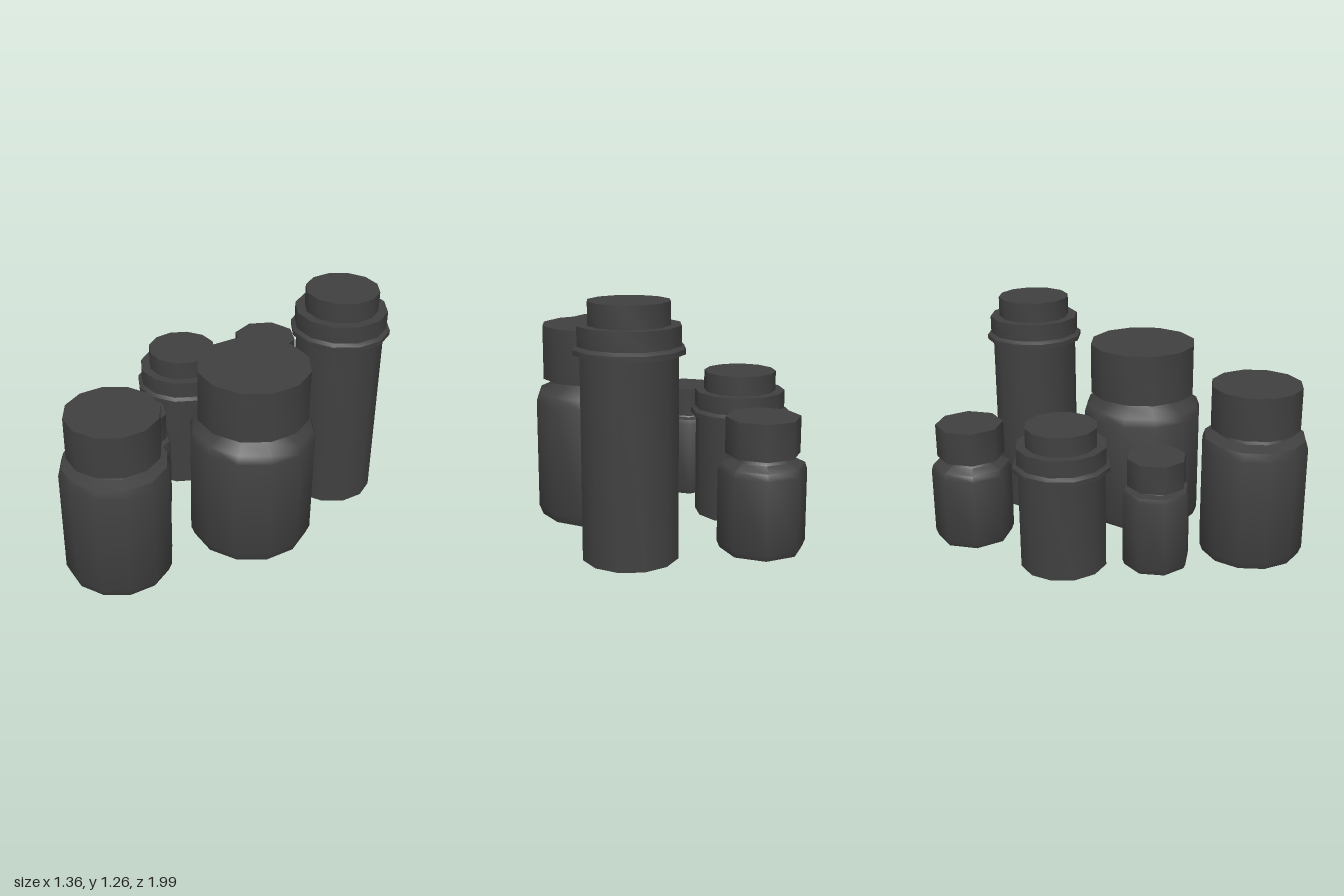
import * as THREE from 'three';
import { toCreasedNormals } from 'three/addons/utils/BufferGeometryUtils.js';

const plastic = new THREE.MeshStandardMaterial({ color: 0x404040 });

// Faceted turned solid from [radius, height] pairs, bottom to top; turn = corner angle from +x to +z
function turned(name, profile, sides, turn) {
  const points = profile.map(([r, y]) => new THREE.Vector2(r, y));
  const start = Math.PI / 2 - THREE.MathUtils.degToRad(turn);
  const geometry = toCreasedNormals(new THREE.LatheGeometry(points, sides, start), 0.87);
  const mesh = new THREE.Mesh(geometry, plastic);
  mesh.name = name;
  return mesh;
}

const disc = (r, bottom, top) => [[0, bottom], [r, bottom], [r, top], [0, top]];

// Round-shouldered jar with a wide screw cap
function pillBottle({ name, x, z, r, neck, shoulder, capR, capY, top, sides, turn }) {
  const [cornerY, bendY, neckY] = shoulder;
  const bottle = new THREE.Group();
  bottle.name = name;
  bottle.position.set(x, 0, z);
  bottle.add(turned('body', [
    [0, 0], [r * 0.76, 0], [r * 0.94, r * 0.055], [r, r * 0.21],
    [r, cornerY], [r * 0.95, bendY],
    [neck * 1.08, neckY], [neck, capY], [0, capY],
  ], sides, turn));
  bottle.add(turned('cap', disc(capR, capY, top), sides, turn));
  return bottle;
}

// Straight vial with a flanged, stepped cap
function vial({ name, x, z, r, flangeR, collarR, capR, flangeY, collarY, top, turn }) {
  const bottle = new THREE.Group();
  bottle.name = name;
  bottle.position.set(x, 0, z);
  bottle.add(turned('body', disc(r, 0, flangeY), 12, turn));
  bottle.add(turned('collar', [
    [0, flangeY], [flangeR, flangeY], [flangeR, flangeY + 0.025],
    [collarR, flangeY + 0.04], [collarR, collarY], [0, collarY],
  ], 12, turn));
  bottle.add(turned('cap', disc(capR, collarY, top), 12, turn));
  return bottle;
}

export function createModel() {
  const group = new THREE.Group();
  group.name = 'bottles';
  group.add(
    pillBottle({ name: 'largeBottle', x: 0.337, z: -0.047, r: 0.34, neck: 0.23, shoulder: [0.655, 0.7, 0.735],
      capR: 0.3, capY: 0.77, top: 1.055, sides: 12, turn: -7 }),
    pillBottle({ name: 'frontBottle', x: 0.147, z: 0.707, r: 0.289, neck: 0.187, shoulder: [0.64, 0.685, 0.705],
      capR: 0.244, capY: 0.74, top: 0.973, sides: 12, turn: -7 }),
    pillBottle({ name: 'smallBottle', x: -0.228, z: 0.3, r: 0.185, neck: 0.122, shoulder: [0.43, 0.452, 0.458],
      capR: 0.16, capY: 0.473, top: 0.628, sides: 8, turn: 5 }),
    pillBottle({ name: 'backBottle', x: -0.377, z: -0.77, r: 0.222, neck: 0.145, shoulder: [0.415, 0.45, 0.475],
      capR: 0.186, capY: 0.5, top: 0.685, sides: 8, turn: 9 }),
    vial({ name: 'tallVial', x: 0.278, z: -0.727, r: 0.241, flangeR: 0.274, collarR: 0.254, capR: 0.202,
      flangeY: 1.015, collarY: 1.15, top: 1.262, turn: -7 }),
    vial({ name: 'shortVial', x: -0.424, z: -0.16, r: 0.238, flangeR: 0.264, collarR: 0.244, capR: 0.194,
      flangeY: 0.555, collarY: 0.688, top: 0.793, turn: -13 }),
  );
  return group;
}
